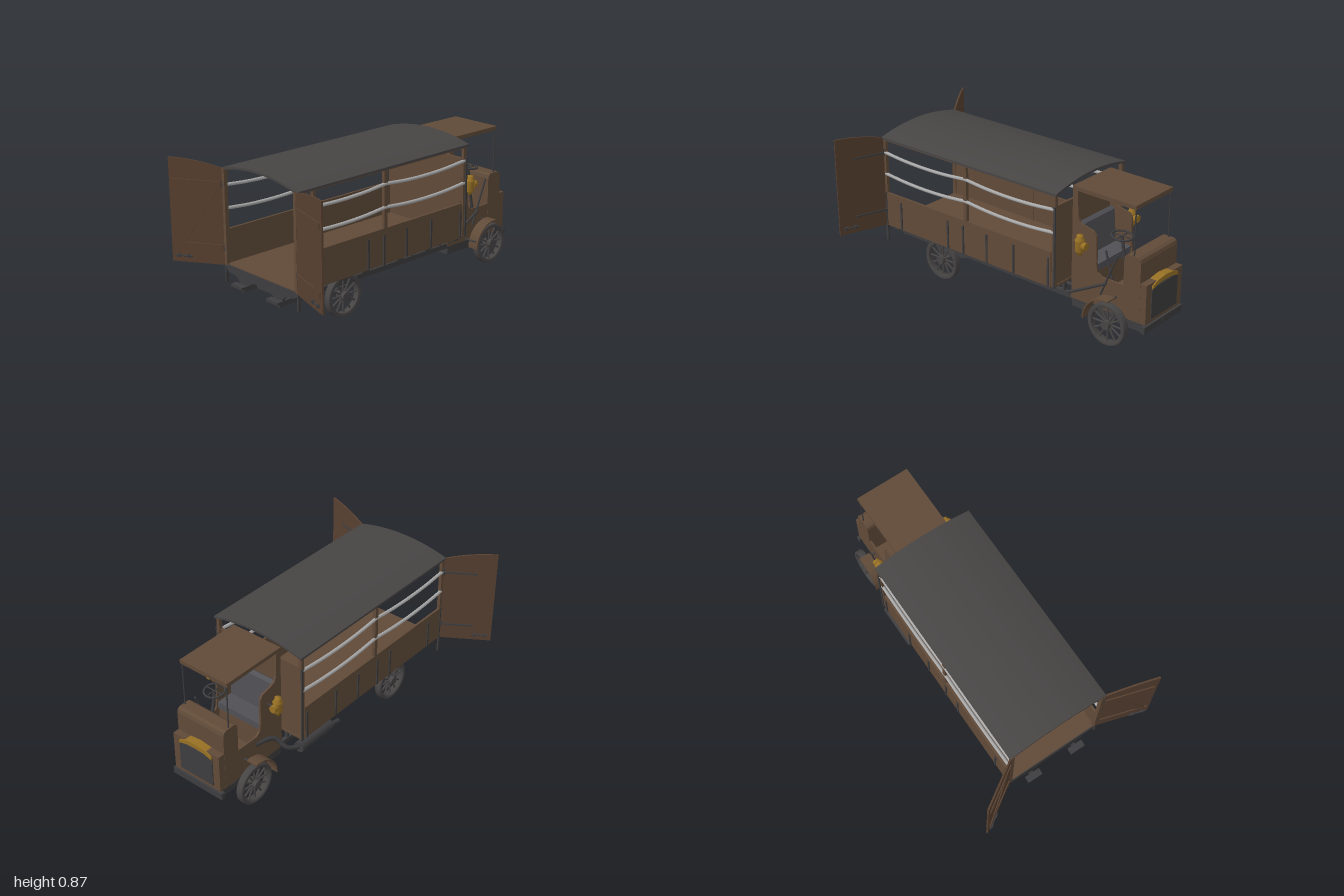
import * as THREE from 'three';

const mat = (name, color, side = THREE.FrontSide) => {
  const m = new THREE.MeshStandardMaterial({ color, side });
  m.name = name;
  return m;
};

export function createModel() {
  const wood = mat('brown wood', 0x604a38);
  const doorWood = mat('door wood', 0x574030);
  const iron = mat('dark iron', 0x3d3c3e);
  const canvas = mat('roof canvas', 0x474444);
  const leather = mat('seat leather', 0x505055);
  const brass = mat('brass', 0x977024);
  const rope = mat('pale chain', 0xa9a9a9);

  const model = new THREE.Group();
  model.name = 'openBackTruck';
  const truck = new THREE.Group();
  truck.name = 'truck';
  truck.position.x = -0.017;
  model.add(truck);

  const add = (name, geo, material, x = 0, y = 0, z = 0, parent = truck) => {
    const m = new THREE.Mesh(geo, material);
    m.name = name;
    m.position.set(x, y, z);
    parent.add(m);
    return m;
  };
  // Box given by its limits on each axis
  const box = (name, material, [x0, x1], [y0, y1], [z0, z1], parent) =>
    add(name, new THREE.BoxGeometry(x1 - x0, y1 - y0, z1 - z0), material,
      (x0 + x1) / 2, (y0 + y1) / 2, (z0 + z1) / 2, parent);
  const rod = (name, material, a, b, r, parent, sides = 8) => {
    const p = new THREE.Vector3(...a), q = new THREE.Vector3(...b), d = q.clone().sub(p);
    const m = add(name, new THREE.CylinderGeometry(r, r, d.length(), sides), material, 0, 0, 0, parent);
    m.position.copy(p).add(q).multiplyScalar(0.5);
    m.quaternion.setFromUnitVectors(new THREE.Vector3(0, 1, 0), d.normalize());
    return m;
  };
  const shapeOf = pts => new THREE.Shape(pts.map(p => new THREE.Vector2(...p)));
  const slab = (pts, depth) => new THREE.ExtrudeGeometry(shapeOf(pts), { depth, bevelEnabled: false });
  // Side profile in (z, y), extruded across x and centred
  const across = (pts, width) => slab(pts, width).rotateY(-Math.PI / 2).translate(width / 2, 0, 0);
  const tube = (pts, r, n = 16) => new THREE.TubeGeometry(
    new THREE.CatmullRomCurve3(pts.map(p => new THREE.Vector3(...p))), n, r, 7);
  const sides = [-1, 1];

  // Load bed
  box('bedFloor', wood, [-0.3, 0.3], [0.262, 0.275], [-0.47, 0.83]);
  box('bedFrontWall', wood, [-0.29, 0.29], [0.265, 0.745], [-0.465, -0.45]);
  for (const z of [0.81, 0.70, 0.5, 0.32, 0.05, -0.18, -0.42])
    box('floorBeam', iron, [-0.29, 0.29], [0.245, 0.262], [z - 0.024, z + 0.024]);
  for (const s of sides) {
    box('bedSide', wood, [s * 0.299 - 0.007, s * 0.299 + 0.007], [0.262, 0.475], [-0.445, 0.835]);
    for (const z of [0.70, 0.32, 0.2, 0.02, -0.18, -0.43])
      box('sideStrap', iron, [s * 0.308 - 0.004, s * 0.308 + 0.004], [0.265, 0.44], [z - 0.006, z + 0.006]);
    for (const z of [0.826, 0.183, -0.463])
      box('roofPost', wood, [s * 0.296 - 0.01, s * 0.296 + 0.01], [0.27, 0.825], [z - 0.012, z + 0.012]);
    box('cornerIron', iron, [s * 0.308 - 0.004, s * 0.308 + 0.004], [0.262, 0.75], [-0.478, -0.466]);
    box('rearCornerIron', iron, [s * 0.305 - 0.005, s * 0.305 + 0.005], [0.16, 0.48], [0.82, 0.836]);
    box('roofRail', wood, [s * 0.3 - 0.008, s * 0.3 + 0.008], [0.808, 0.826], [-0.475, 0.83]);
    // Sagging side chains
    for (const y of [0.73, 0.595])
      for (const [a, b] of [[0.826, 0.183], [0.183, -0.463]])
        add('sideChain', tube([0, 0.25, 0.5, 0.75, 1].map(t =>
          [s * 0.3, y - 0.075 * t * (1 - t), a + (b - a) * t]), 0.01, 20), rope);
  }

  // Arched roof
  const arc = [];
  for (let i = 0; i <= 16; i++) { const u = i / 8 - 1; arc.push([u * 0.314, 0.871 - 0.043 * u * u]); }
  add('roof', slab([...arc, ...arc.slice().reverse().map(([x, y]) => [x, y - 0.013])], 1.32), canvas, 0, 0, -0.485);

  // Rear valance with arched lower edge
  const half = [[0.308, 0.27], [0.308, 0.25], [0.275, 0.23], [0.21, 0.222], [0.17, 0.184], [0.12, 0.184], [0.07, 0.215]];
  add('rearValance', slab([...half, [0, 0.227], ...half.slice().reverse().map(([x, y]) => [-x, y])], 0.012), iron, 0, 0, 0.823);

  // Open rear doors, hinged at the corners
  for (const s of sides) {
    const door = new THREE.Group();
    door.name = s > 0 ? 'leftDoor' : 'rightDoor';
    door.position.set(s * 0.308, 0, 0.832);
    door.rotation.y = s > 0 ? -0.3 : 0.57;
    truck.add(door);
    const top = [1, 0.8, 0.6, 0.4, 0.2, 0].map(t => [s * t * 0.31, 0.87 - 0.045 * (1 - t) ** 2]);
    add('doorPanel', slab([[0, 0.263], [s * 0.31, 0.263], ...top], 0.01), doorWood, 0, 0, -0.005, door);
    const span = (a, b) => [Math.min(s * a, s * b), Math.max(s * a, s * b)];
    for (const y of [0.345, 0.712]) {
      box('doorBoard', doorWood, span(0.01, 0.29), [y, y + 0.038], [0.004, 0.012], door);
      box('hingeStrap', iron, span(0, 0.2), [y + 0.014, y + 0.024], [-0.01, -0.004], door);
      rod('hingePin', iron, [0, y - 0.005, 0], [0, y + 0.043, 0], 0.008, door);
    }
    add('doorBrace', slab([[s * 0.02, 0.712], [s * 0.06, 0.712], [s * 0.275, 0.383], [s * 0.225, 0.383]], 0.007), doorWood, 0, 0, 0.004, door);
    for (const z of [-0.012, 0.012]) {
      rod('lockBar', iron, [s * 0.19, 0.302, z], [s * 0.29, 0.302, z], 0.005, door);
      for (const x of [0.205, 0.265]) box('lockBracket', iron, span(x, x + 0.012), [0.292, 0.312], [z - 0.007, z + 0.007], door);
    }
  }

  // Chassis
  for (const s of sides) {
    const x = s * 0.15;
    box('chassisRail', iron, [x - 0.012, x + 0.012], [0.148, 0.178], [-0.95, 0.84]);
    for (const z of [0.81, 0.70, 0.32, 0.05, -0.18, -0.42])
      box('bedSupport', iron, [x - 0.01, x + 0.01], [0.17, 0.25], [z - 0.008, z + 0.008]);
    // Rear buffers
    add('bufferArm', tube([[x, 0.165, 0.82], [x, 0.172, 0.85], [x, 0.19, 0.865]], 0.007, 8), iron);
    box('bufferPad', iron, [x - 0.048, x + 0.048], [0.18, 0.196], [0.845, 0.885]);
    // Leaf springs
    for (const z of [0.44, -0.786])
      add('leafSpring', across([[z - 0.14, 0.15], [z - 0.07, 0.125], [z, 0.11], [z + 0.07, 0.125], [z + 0.14, 0.15],
        [z + 0.07, 0.142], [z, 0.135], [z - 0.07, 0.142]], 0.025), iron, x);
  }
  for (const z of [0.74, 0.3, 0, -0.3]) box('crossMember', iron, [-0.15, 0.15], [0.15, 0.174], [z - 0.012, z + 0.012]);
  rod('driveShaft', iron, [0, 0.105, 0.4], [0, 0.135, -0.5], 0.012);
  const diff = add('differential', new THREE.SphereGeometry(1, 20, 12), iron, 0, 0.117, 0.44);
  diff.scale.set(0.07, 0.051, 0.06);
  box('underTray', iron, [-0.16, 0.16], [0.105, 0.158], [-0.975, -0.485]);
  box('frontBeam', iron, [-0.18, 0.18], [0.11, 0.15], [-0.992, -0.965]);
  rod('startingCrank', iron, [0, 0.13, -0.96], [0, 0.13, -0.995], 0.014);

  // Wheels with spokes
  const rim = new THREE.LatheGeometry([[0.1, -0.018], [0.118, -0.023], [0.125, -0.017], [0.125, 0.017],
    [0.118, 0.023], [0.1, 0.018], [0.1, -0.018]].map(p => new THREE.Vector2(...p)), 36).rotateZ(Math.PI / 2);
  for (const z of [0.44, -0.786]) {
    rod('axle', iron, [-0.22, 0.127, z], [0.22, 0.127, z], 0.013);
    for (const s of sides) {
      const wheel = new THREE.Group();
      wheel.name = 'wheel';
      wheel.position.set(s * 0.23, 0.125, z);
      truck.add(wheel);
      add('tyre', rim, canvas, 0, 0, 0, wheel);
      rod('hub', canvas, [-0.03, 0, 0], [0.03, 0, 0], 0.026, wheel, 16);
      for (let i = 0; i < 12; i++) {
        const a = i * Math.PI / 6, c = Math.cos(a), d = Math.sin(a);
        rod('spoke', canvas, [0, c * 0.02, d * 0.02], [0, c * 0.104, d * 0.104], 0.0065, wheel, 6);
      }
    }
  }

  // Cab
  const cabSide = [[-0.485, 0.158], [-0.485, 0.82], [-0.518, 0.82], [-0.522, 0.66], [-0.535, 0.63], [-0.57, 0.618],
    [-0.63, 0.605], [-0.648, 0.58], [-0.652, 0.42], [-0.66, 0.37], [-0.69, 0.35], [-0.85, 0.35], [-0.85, 0.158]];
  for (const s of sides) {
    add('cabSide', across(cabSide, 0.012), wood, s * 0.161);
    rod('canopyRod', iron, [s * 0.158, 0.53, -0.893], [s * 0.158, 0.815, -0.893], 0.004);
    // Curved mudguard over the rear half of the front wheel
    const guard = [];
    for (const r of [0.152, 0.144])
      for (let i = 0; i <= 12; i++) {
        const a = (r > 0.15 ? i : 12 - i) / 12 * 1.72 - 0.02;
        guard.push([-0.786 + r * Math.cos(a), 0.128 + r * Math.sin(a)]);
      }
    add('mudguard', across(guard, 0.07), wood, s * 0.232);
    rod('mudguardStay', iron, [s * 0.16, 0.265, -0.79], [s * 0.25, 0.265, -0.79], 0.006);
    rod('mudguardStay', iron, [s * 0.16, 0.17, -0.64], [s * 0.25, 0.17, -0.64], 0.006);
    // Brass side lamps
    const lamp = new THREE.Group();
    lamp.name = 'sideLamp';
    lamp.position.set(s * 0.237, 0.54, -0.59);
    truck.add(lamp);
    add('lampBody', new THREE.LatheGeometry([[0, -0.06], [0.012, -0.058], [0.014, -0.045], [0.025, -0.036], [0.025, 0.025],
      [0.03, 0.028], [0.018, 0.045], [0.018, 0.058], [0, 0.062]].map(p => new THREE.Vector2(...p)), 16), brass, 0, 0, 0, lamp);
    rod('lampLens', brass, [0, 0, -0.02], [0, 0, -0.045], 0.022, lamp, 16);
    rod('lampBracket', iron, [0, -0.02, 0], [-s * 0.075, -0.02, 0], 0.006, lamp);
  }
  box('cabBackWall', wood, [-0.167, 0.167], [0.16, 0.825], [-0.495, -0.483]);
  box('cabFloor', wood, [-0.156, 0.156], [0.2, 0.215], [-0.85, -0.49]);
  add('canopy', across([[-0.482, 0.812], [-0.482, 0.835], [-0.9, 0.832], [-0.9, 0.808]], 0.336), wood);
  box('seatBox', wood, [-0.155, 0.155], [0.21, 0.37], [-0.64, -0.495]);
  box('seatCushion', leather, [-0.153, 0.153], [0.37, 0.41], [-0.65, -0.5]);
  add('seatBack', across([[-0.495, 0.41], [-0.495, 0.61], [-0.51, 0.62], [-0.53, 0.605], [-0.545, 0.41]], 0.306), leather);

  // Bonnet and radiator
  add('bonnet', across([[-0.836, 0.158], [-0.836, 0.51], [-0.842, 0.53], [-0.858, 0.54], [-0.922, 0.54], [-0.938, 0.53],
    [-0.945, 0.51], [-0.945, 0.158]], 0.336), wood);
  box('radiatorShell', wood, [-0.167, 0.167], [0.158, 0.395], [-0.986, -0.944]);
  box('radiatorGrille', iron, [-0.12, 0.12], [0.18, 0.365], [-0.991, -0.984]);
  const crest = [[-0.12, 0.358], [-0.115, 0.38], [-0.07, 0.398], [0, 0.406], [0.07, 0.398], [0.115, 0.38],
    [0.12, 0.358], [0.06, 0.374], [0, 0.378], [-0.06, 0.374]];
  add('radiatorCrest', slab(crest, 0.048), brass, 0, 0, -0.994);

  // Steering wheel and levers
  const steer = add('steeringWheel', new THREE.TorusGeometry(0.058, 0.006, 8, 28).rotateX(Math.PI / 2), iron, 0.075, 0.585, -0.75);
  steer.rotation.x = -0.12;
  for (let i = 0; i < 2; i++) rod('steeringSpoke', iron, [i ? 0.02 : 0.075, 0.585, i ? -0.75 : -0.8], [i ? 0.13 : 0.075, 0.585, i ? -0.75 : -0.7], 0.004);
  rod('steeringColumn', iron, [0.075, 0.585, -0.75], [0.075, 0.22, -0.81], 0.009);
  rod('gearLever', iron, [0.135, 0.5, -0.69], [0.135, 0.22, -0.77], 0.006);
  rod('handBrake', iron, [0.175, 0.52, -0.8], [0.175, 0.25, -0.69], 0.006);
  rod('brakeLink', iron, [0.178, 0.33, -0.73], [0.178, 0.19, -0.47], 0.008);

  // Exhaust pipe and silencer
  add('exhaustPipe', tube([[-0.16, 0.3, -0.7], [-0.19, 0.28, -0.57], [-0.25, 0.22, -0.53], [-0.28, 0.2, -0.46]], 0.014), iron);
  rod('silencer', iron, [-0.28, 0.2, -0.47], [-0.28, 0.2, -0.2], 0.033, truck, 16);
  rod('tailPipe', iron, [-0.28, 0.19, -0.2], [-0.28, 0.175, -0.12], 0.014);
  box('silencerBracket', iron, [-0.28, -0.15], [0.16, 0.175], [-0.35, -0.33]);
  return model;
}
